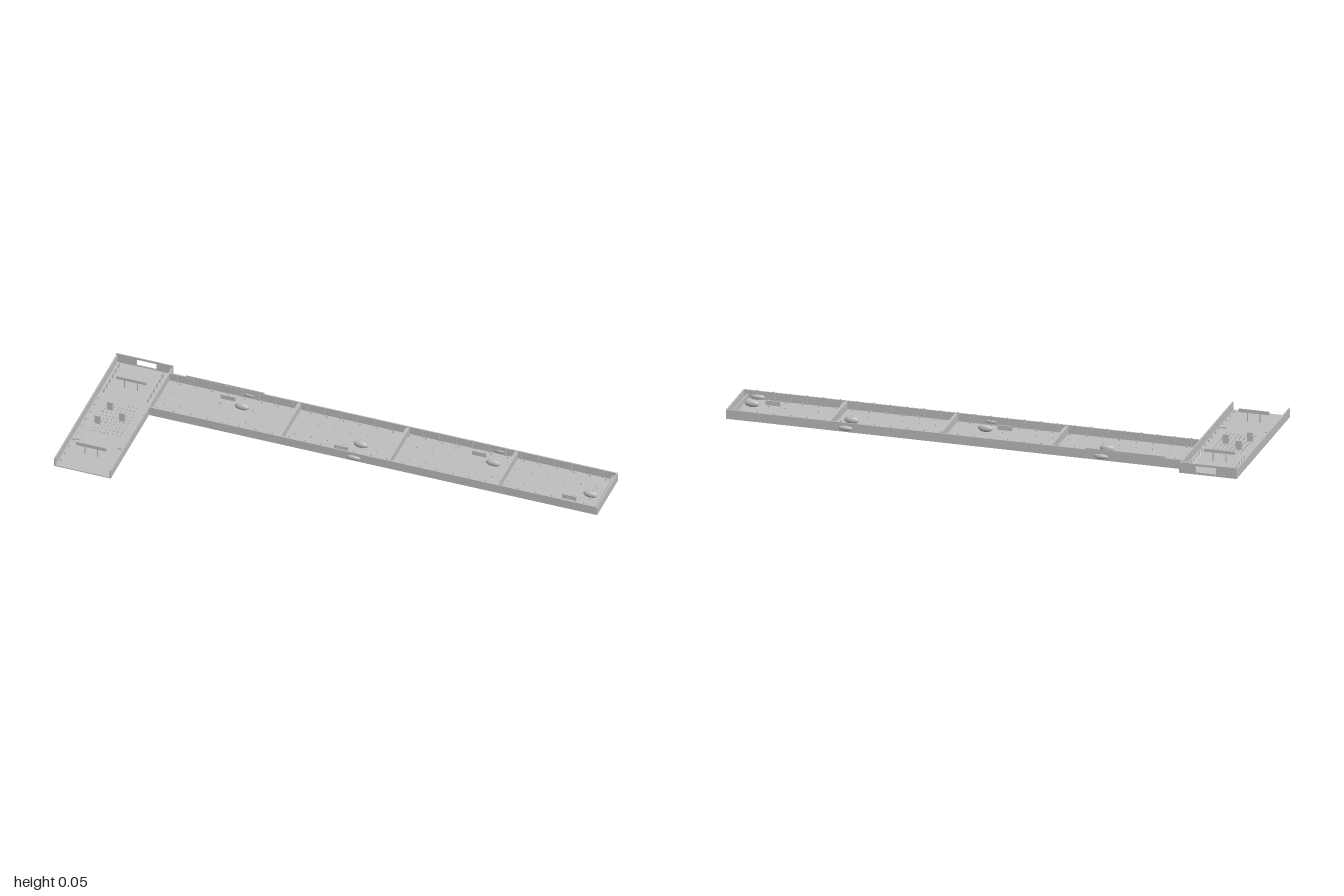
import * as THREE from 'three';

export function createModel() {
  const model = new THREE.Group();
  const grey = new THREE.MeshStandardMaterial({ color: 0xbfbfbf });
  grey.name = 'light grey metal';

  const add = (parent, name, geo, x, y, z) => {
    const m = new THREE.Mesh(geo, grey);
    m.name = name;
    m.position.set(x, y, z);
    parent.add(m);
    return m;
  };
  // box given by its limits on each axis
  const box = (parent, name, x0, x1, y0, y1, z0, z1) =>
    add(parent, name, new THREE.BoxGeometry(x1 - x0, y1 - y0, z1 - z0),
      (x0 + x1) / 2, (y0 + y1) / 2, (z0 + z1) / 2);
  const group = (name) => {
    const g = new THREE.Group();
    g.name = name;
    model.add(g);
    return g;
  };

  const floor = 0.004, top = 0.036, t = 0.005;

  // Head tray: open at the front
  const head = group('headTray');
  const hx0 = -1, hx1 = -0.775, hz = 0.338;
  box(head, 'headFloor', hx0, hx1, 0, floor, -hz, hz);
  box(head, 'headRightWall', hx0, hx0 + t, floor, top, -hz, hz);
  box(head, 'headLeftWall', hx1 - t, hx1, floor, top, -hz, hz);

  // Back wall with a rectangular opening
  const wall = new THREE.Shape([[hx0, 0], [hx1, 0], [hx1, 0.042], [hx0, 0.042]]
    .map(p => new THREE.Vector2(...p)));
  wall.holes.push(new THREE.Path([[-0.92, 0.009], [-0.92, 0.034], [-0.84, 0.034], [-0.84, 0.009]]
    .map(p => new THREE.Vector2(...p))));
  add(head, 'headBackWall', new THREE.ExtrudeGeometry(wall, { depth: 0.004, bevelEnabled: false }), 0, 0, -hz);

  // Thin raised cross plates with legs
  for (const [z, h] of [[0.235, 0.052], [-0.195, 0.05]]) {
    box(head, 'crossPlate', -0.95, -0.83, 0.038, h, z - 0.001, z + 0.001);
    for (const x of [-0.915, -0.865]) box(head, 'plateLeg', x - 0.002, x + 0.002, floor, 0.038, z - 0.001, z + 0.001);
  }

  // Rows of pegs and square pads along the head walls
  const knob = new THREE.ConeGeometry(0.010, 0.022, 10);
  const rivet = new THREE.CylinderGeometry(0.003, 0.003, 0.008, 8);
  for (const x of [-0.975, -0.8]) {
    for (let i = 0; i < 6; i++) add(head, 'headKnob', knob, x, floor + 0.011, -0.308 + i * 0.032);
    for (let i = 0; i < 10; i++) add(head, 'headRivet', rivet, x + (x < -0.9 ? -0.01 : 0.01), 0.008, -0.1 + i * 0.045);
    box(head, 'squarePad', x - 0.011, x + 0.011, floor, 0.009, 0.14, 0.165);
  }

  // Small upright blocks and peg field on the head floor
  for (const [x, z] of [[-0.92, -0.052], [-0.855, -0.004], [-0.935, 0.042]]) {
    box(head, 'uprightBlock', x - 0.011, x + 0.011, floor, 0.039, z - 0.004, z + 0.004);
  }
  const peg = new THREE.CylinderGeometry(0.002, 0.002, 0.006, 6);
  for (let i = 0; i < 8; i++) {
    for (let j = 0; j < 10; j++) add(head, 'floorPeg', peg, -0.94 + i * 0.016, 0.006, -0.09 + j * 0.02);
  }

  // Long arm tray
  const arm = group('armTray');
  const az0 = -0.3, az1 = -0.075;
  box(arm, 'armFloor', hx1, 1, 0, floor, az0, az1);
  box(arm, 'armBackWall', hx1, 1, floor, top, az0, az0 + t);
  box(arm, 'armFrontWall', hx1, 1, floor, top, az1 - t, az1);
  box(arm, 'armEndWall', 1 - t, 1, floor, top, az0, az1);
  box(arm, 'endRib', 0.98, 0.985, floor, 0.022, az0 + t, az1 - t);
  for (const x of [-0.26, 0.17, 0.6]) {
    box(arm, 'divider', x - 0.006, x + 0.006, floor, 0.034, az0 + t, az1 - t);
  }
  box(arm, 'backRail', -0.71, -0.4, top, 0.042, az0 + 0.001, az0 + 0.004);

  // Studs lining both long walls
  const studTop = 0.041;
  for (let i = 0; i < 27; i++) {
    const x = -0.745 + i * 0.065;
    for (const [z, s] of [[az0 + t, 1], [az1 - t, -1]]) {
      box(arm, 'wallStud', x - 0.002, x + 0.002, floor, studTop, Math.min(z, z + s * 0.005), Math.max(z, z + s * 0.005));
      add(arm, 'armRivet', rivet, x + 0.015, 0.007, z + s * 0.012);
    }
    for (const z of [-0.225, -0.15]) add(arm, 'floorPeg', peg, x, 0.006, z);
  }

  // Flattened oval lamps on the walls and floor, each pair with a thin fin
  const oval = new THREE.SphereGeometry(1, 20, 12);
  const fittings = [
    [-0.46, az0, -0.22, -0.53, -0.26], [0.035, az1, -0.155, -0.03, -0.118],
    [0.535, az0, -0.22, 0.465, -0.26], [0.94, az1 - 0.012, -0.165, 0.87, -0.127],
  ];
  for (const [x, zWall, zFloor, finX, finZ] of fittings) {
    add(arm, 'wallOval', oval, x, 0.015, zWall).scale.set(0.028, 0.010, 0.008);
    add(arm, 'floorOval', oval, x, 0.018, zFloor).scale.set(0.028, 0.014, 0.010);
    box(arm, 'fin', finX - 0.028, finX + 0.028, floor, 0.022, finZ - 0.003, finZ + 0.003);
  }

  return model;
}
